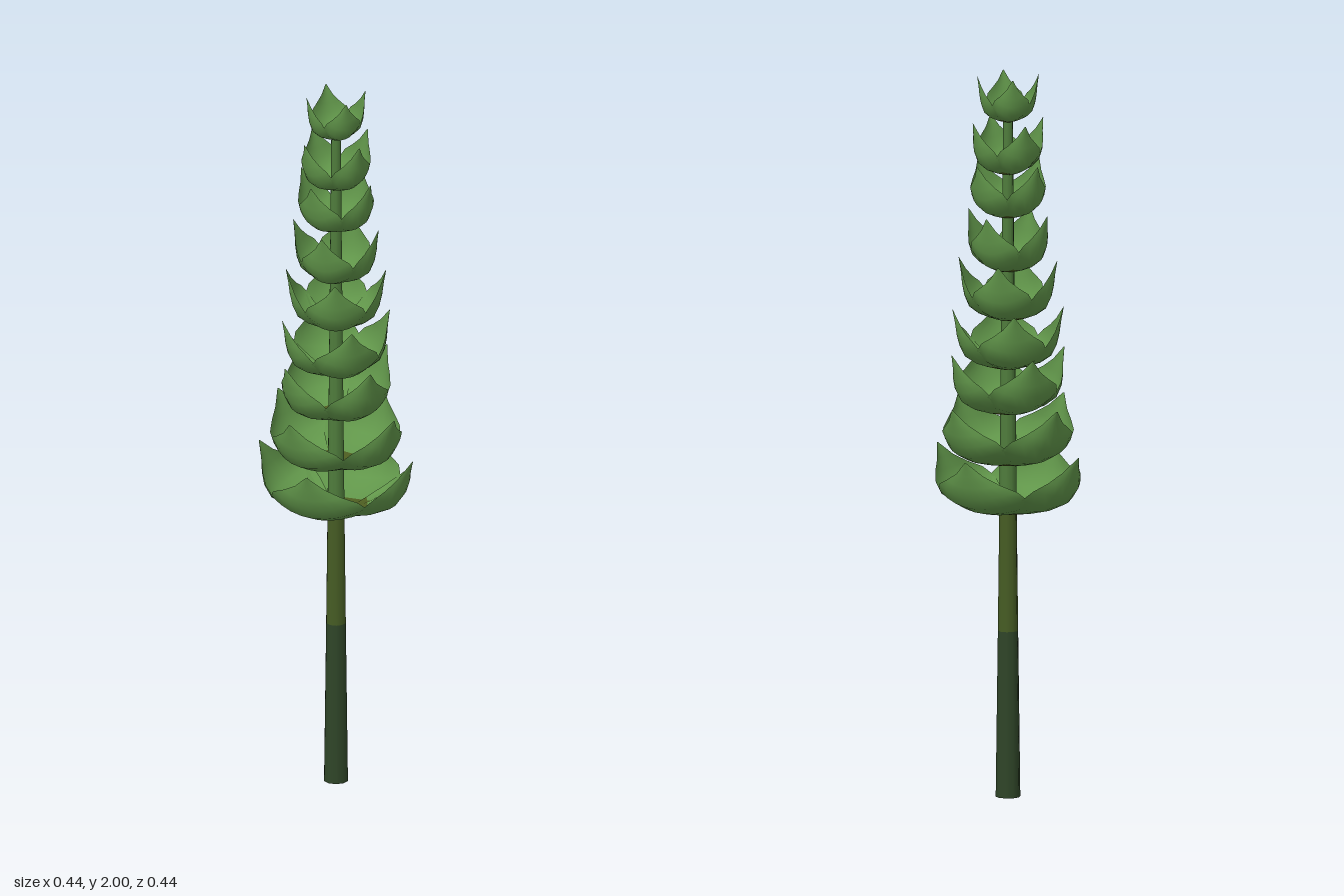
import * as THREE from 'three';

const mat = (name, color, side = THREE.FrontSide) => {
  const m = new THREE.MeshStandardMaterial({ color, side });
  m.name = name;
  return m;
};

// Leaf profile from stem to tip: [radius, height, half width], as fractions of tier size
const ROWS = [
  [0.06, 0.0, 0.06], [0.22, 0.02, 0.2], [0.37, 0.05, 0.36], [0.58, 0.11, 0.53],
  [0.77, 0.22, 0.62], [0.87, 0.4, 0.55], [0.92, 0.58, 0.38], [0.95, 0.77, 0.19], [1.0, 1.0, 0.01],
];
const ACROSS = 8;
const BASE_ROWS = 2; // rows coloured as the leaf base

// Cupped pointed leaf facing +z, its edges curling up and inwards
function leafGeometry(R, H) {
  const pos = [], idx = [];
  for (const [r, h, w] of ROWS) {
    for (let i = 0; i <= ACROSS; i++) {
      const t = (i / ACROSS) * 2 - 1;
      pos.push(w * R * t, h * H + 0.3 * w * w * H * t * t * 1.6, (r - 0.32 * w * t * t) * R);
    }
  }
  for (let j = 0; j < ROWS.length - 1; j++) {
    for (let i = 0; i < ACROSS; i++) {
      const a = j * (ACROSS + 1) + i, b = a + ACROSS + 1;
      idx.push(a, a + 1, b, a + 1, b + 1, b);
    }
  }
  const g = new THREE.BufferGeometry();
  g.setAttribute('position', new THREE.Float32BufferAttribute(pos, 3));
  g.setIndex(idx);
  g.computeVertexNormals();
  const split = BASE_ROWS * ACROSS * 6;
  g.addGroup(0, split, 0);
  g.addGroup(split, idx.length - split, 1);
  return g;
}

export function createModel() {
  const model = new THREE.Group();
  model.name = 'plantSpike';
  const leafGreen = mat('leafGreen', 0x61964a, THREE.DoubleSide);
  const leafBase = mat('leafBaseOlive', 0x4c5c20, THREE.DoubleSide);
  const stemDark = mat('stemDarkGreen', 0x2f4528);
  const stemOlive = mat('stemOlive', 0x465c24);
  const stemGreen = mat('stemGreen', 0x4f7c3c);

  // Stem in three tapering lengths
  const stem = (name, y0, y1, r0, r1, m) => {
    const mesh = new THREE.Mesh(new THREE.CylinderGeometry(r1, r0, y1 - y0, 10), m);
    mesh.position.y = (y0 + y1) / 2;
    mesh.name = name;
    model.add(mesh);
  };
  stem('lowerStem', 0, 0.46, 0.034, 0.028, stemDark);
  stem('middleStem', 0.46, 0.8, 0.028, 0.024, stemOlive);
  stem('upperStem', 0.8, 1.92, 0.024, 0.013, stemGreen);

  // Whorls of four leaves, each turned a little from the one below: [y, radius, height]
  const tiers = [
    [0.785, 0.225, 0.175], [0.92, 0.203, 0.175], [1.06, 0.168, 0.175], [1.185, 0.153, 0.17],
    [1.32, 0.137, 0.17], [1.455, 0.123, 0.165], [1.605, 0.117, 0.155], [1.725, 0.107, 0.15],
    [1.87, 0.085, 0.13],
  ];
  tiers.forEach(([y, R, H], k) => {
    const whorl = new THREE.Group();
    whorl.name = `leafWhorl${k + 1}`;
    whorl.position.y = y;
    whorl.rotation.y = THREE.MathUtils.degToRad(14 - 17.5 * k);
    const geo = leafGeometry(R, H);
    for (let i = 0; i < 4; i++) {
      const leaf = new THREE.Mesh(geo, [leafBase, leafGreen]);
      leaf.name = 'leaf';
      leaf.rotation.y = (i * Math.PI) / 2;
      whorl.add(leaf);
    }
    model.add(whorl);
  });
  return model;
}
